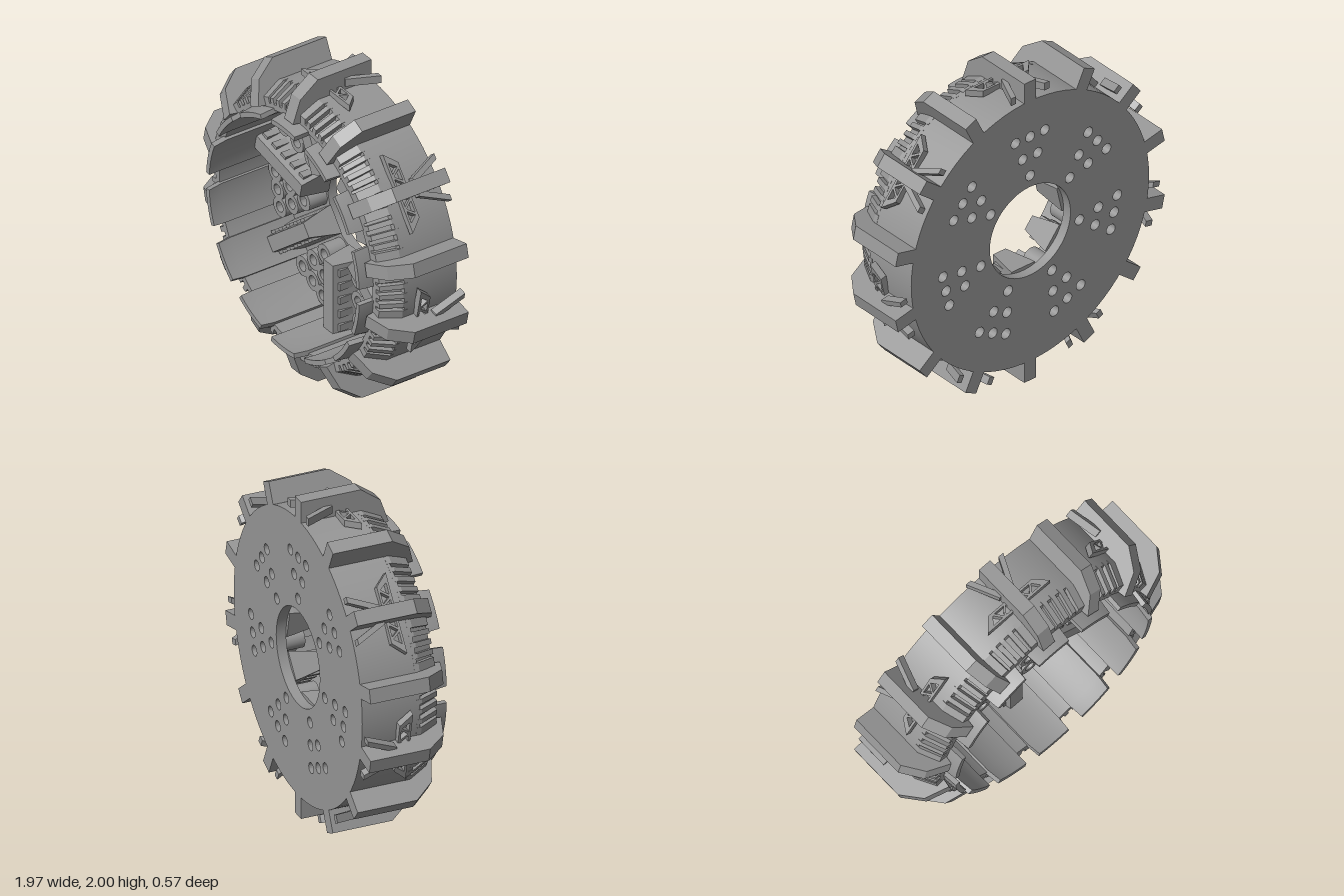
import * as THREE from 'three';
import { toCreasedNormals } from 'three/addons/utils/BufferGeometryUtils.js';

const COUNT = 14, STEP = (Math.PI * 2) / COUNT;
const BACK = -0.285, FLOOR = -0.225;
const mat = new THREE.MeshStandardMaterial({ color: 0x969696 });

const poly = (pts) => new THREE.Shape(pts.map(([x, y]) => new THREE.Vector2(x, y)));
const circle = (r, x = 0, y = 0) => new THREE.Path().absarc(x, y, r, 0, Math.PI * 2);
const extrude = (shape, depth, z = 0, curveSegments = 16) =>
  new THREE.ExtrudeGeometry(shape, { depth, bevelEnabled: false, curveSegments }).translate(0, 0, z);
// Outline given as [z, radius], extruded across the tread
const sideExtrude = (pts, width) => extrude(poly(pts), width, -width / 2).rotateY(-Math.PI / 2);
// Outline given as [x, -z], extruded outward from a radius
const topExtrude = (shape, r0, r1) => extrude(shape, r1 - r0, r0).rotateX(-Math.PI / 2);

function add(parent, name, geometry) {
  const mesh = new THREE.Mesh(geometry, mat);
  mesh.name = name;
  parent.add(mesh);
  return mesh;
}

// Positions of the six bolt tubes in one triangular cluster
const bolts = [[-0.107, 0.63], [0, 0.63], [0.107, 0.63], [-0.055, 0.5], [0.055, 0.5], [0, 0.37]];
const BOLT_R = 0.032;

function hubPlate() {
  const shape = new THREE.Shape().absarc(0, 0, 0.86, 0, Math.PI * 2);
  shape.holes.push(circle(0.295));
  for (let i = 0; i < COUNT; i += 2) {
    const c = Math.cos(i * STEP), s = Math.sin(i * STEP);
    for (const [x, y] of bolts) shape.holes.push(circle(BOLT_R, x * c - y * s, x * s + y * c));
  }
  return toCreasedNormals(extrude(shape, FLOOR - BACK, BACK, 40), 0.6);
}

function drum() {
  const profile = [[0.74, BACK], [0.87, BACK], [0.87, 0.07], [0.84, 0.075], [0.775, 0.2], [0.74, 0.2], [0.74, BACK]];
  const geo = new THREE.LatheGeometry(profile.map(([r, z]) => new THREE.Vector2(r, z)), 84);
  return toCreasedNormals(geo.rotateX(Math.PI / 2), 0.4);
}

function boltCluster() {
  const group = new THREE.Group();
  group.name = 'boltCluster';
  // Rounded triangular pad joining the tubes
  const pad = new THREE.Shape();
  const r = 0.058;
  pad.absarc(0, 0.37, r, Math.PI * 1.12, Math.PI * 1.88);
  pad.absarc(0.107, 0.63, r, -0.38, Math.PI / 2);
  pad.absarc(-0.107, 0.63, r, Math.PI / 2, Math.PI + 0.38);
  for (const [x, y] of bolts) pad.holes.push(circle(BOLT_R, x, y));
  add(group, 'boltPad', toCreasedNormals(extrude(pad, 0.05, FLOOR), 0.6));
  const ring = new THREE.Shape().absarc(0, 0, 0.062, 0, Math.PI * 2);
  ring.holes.push(circle(BOLT_R));
  const tube = toCreasedNormals(extrude(ring, 0.12, FLOOR), 0.6);
  for (const [x, y] of bolts) add(group, 'boltTube', tube).position.set(x, y, 0);
  return group;
}

function spoke() {
  const group = new THREE.Group();
  group.name = 'spoke';
  // Beam with sloping flanks, running outward along +y
  const section = poly([[-0.085, -FLOOR], [0.085, -FLOOR], [0.08, 0.19], [0.045, 0.02], [-0.045, 0.02], [-0.08, 0.19]]);
  add(group, 'spokeBeam', topExtrude(section, 0.272, 0.735));
  for (const side of [-1, 1])
    for (let i = 0; i < 5; i++)
      add(group, 'spokeRung', new THREE.BoxGeometry(0.03, 0.045, 0.15))
        .position.set(side * 0.055, 0.325 + i * 0.09, -0.125);
  return group;
}

function truss() {
  const group = new THREE.Group();
  group.name = 'treadTruss';
  // Trapezoid plate with alternating triangular openings
  const plate = poly([[-0.235, 0], [0.235, 0], [0.165, 0.075], [-0.165, 0.075]]);
  for (let i = -3; i <= 3; i++) {
    const x = i * 0.048, up = i % 2 !== 0;
    const base = up ? 0.014 : 0.062, tip = up ? 0.058 : 0.018;
    plate.holes.push(poly([[x - 0.034, base], [x + 0.034, base], [x, tip]]));
  }
  add(group, 'trussPlate', topExtrude(plate, 0.86, 0.9));
  // Pair of struts spreading toward the back
  for (const s of [-1, 1]) {
    const pts = [[s * 0.02, 0.1], [s * 0.055, 0.1], [s * 0.14, -BACK], [s * 0.105, -BACK]];
    add(group, 'diagonalStrut', topExtrude(poly(pts), 0.895, 0.943));
  }
  return group;
}

// Curved panel lining the drum, its free front end slightly tapered
function rimPanel() {
  const shape = new THREE.Shape();
  const half = 0.163, mid = Math.PI / 2;
  shape.absarc(0, 0, 0.752, mid - half, mid + half);
  shape.absarc(0, 0, 0.722, mid + half, mid - half, true);
  const geo = new THREE.ExtrudeGeometry(shape, { depth: 0.29 - FLOOR, steps: 2, bevelEnabled: false, curveSegments: 6 });
  geo.translate(0, 0, FLOOR);
  const p = geo.attributes.position;
  for (let i = 0; i < p.count; i++) {
    const z = p.getZ(i);
    if (z > 0.28) p.setXY(i, p.getX(i) * 0.93, p.getY(i) - 0.008);
    else if (z > FLOOR + 0.1) p.setZ(i, 0.2);
  }
  return toCreasedNormals(geo, 0.3);
}

export function createModel() {
  const model = new THREE.Group();
  model.name = 'wheel';
  const wheel = new THREE.Group();
  wheel.name = 'wheelBody';
  wheel.position.y = 1;
  model.add(wheel);

  add(wheel, 'hubPlate', hubPlate());
  add(wheel, 'drum', drum());

  const lug = sideExtrude([[BACK, 0.85], [BACK, 1], [0.08, 1], [0.2, 0.91], [0.25, 0.765],
    [0.19, 0.755], [0.07, 0.84]], 0.086);
  const ribOutline = [[0.05, 0.84], [0.05, 0.871], [0.08, 0.871], [0.2, 0.81], [0.2, 0.76]];
  const rib = sideExtrude(ribOutline, 0.03), endRib = sideExtrude(ribOutline, 0.05);
  const panel = rimPanel();

  for (let i = 0; i < COUNT; i++) {
    const sector = new THREE.Group();
    sector.name = 'sector';
    sector.rotation.z = i * STEP;
    wheel.add(sector);
    add(sector, 'treadLug', lug);
    add(sector, 'rimPanel', panel);
    // Ribs across the front shoulder, wider beside the lugs
    for (let k = -2; k <= 2; k++)
      add(sector, 'treadRib', Math.abs(k) === 2 ? endRib : rib).rotation.z = STEP * (0.5 + k * 0.16);
    if (i % 2 === 0) sector.add(boltCluster(), truss());
    else sector.add(spoke());
  }
  return model;
}
